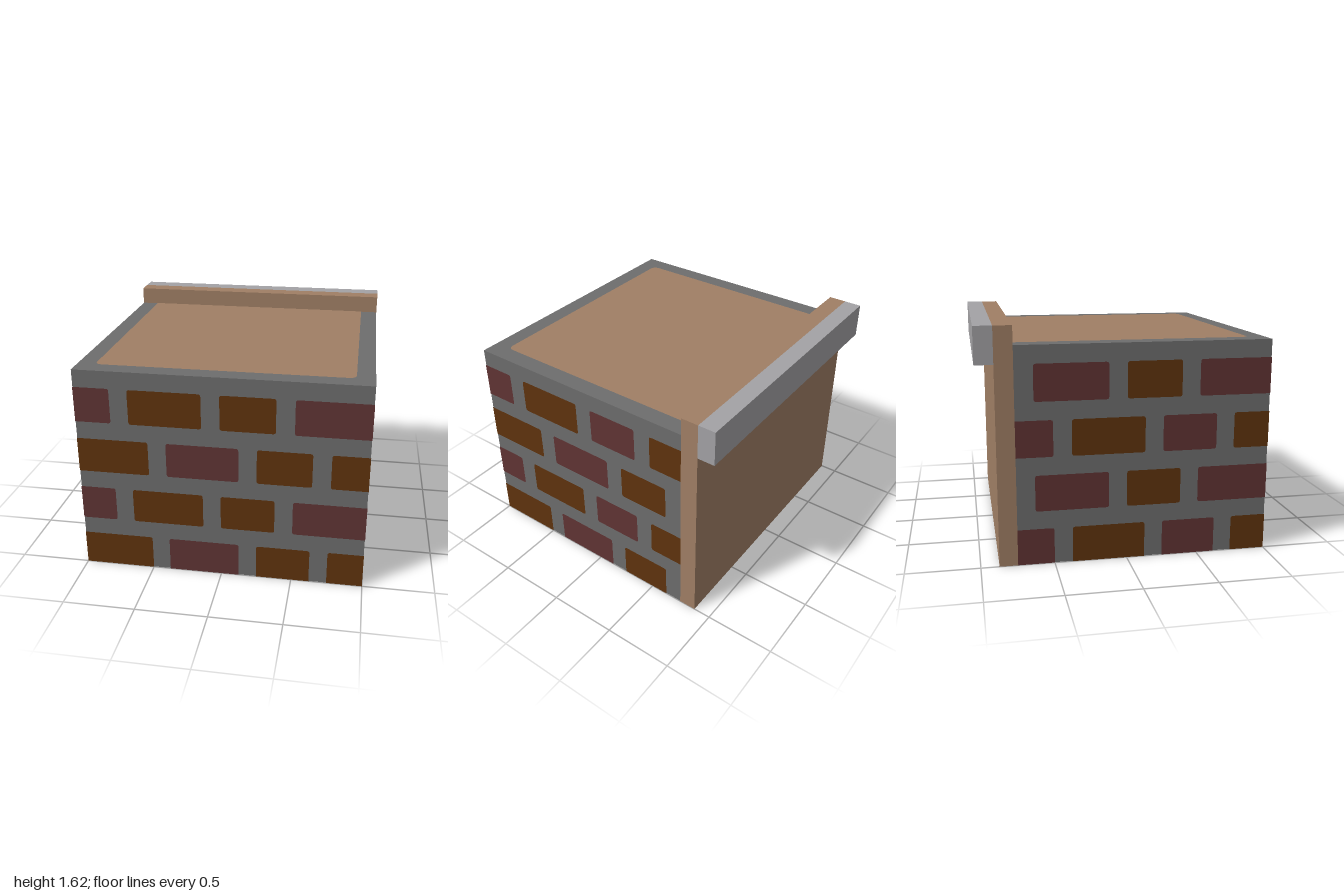
import * as THREE from 'three';

const material = (name, color) => {
  const m = new THREE.MeshStandardMaterial({ color });
  m.name = name;
  return m;
};

// Rectangle with a separate radius for each corner: bottom left, bottom right, top right, top left
function roundedRect(x0, y0, x1, y1, [bl, br, tr, tl]) {
  const s = new THREE.Shape();
  s.moveTo(x0 + bl, y0);
  s.lineTo(x1 - br, y0);
  if (br) s.quadraticCurveTo(x1, y0, x1, y0 + br);
  s.lineTo(x1, y1 - tr);
  if (tr) s.quadraticCurveTo(x1, y1, x1 - tr, y1);
  s.lineTo(x0 + tl, y1);
  if (tl) s.quadraticCurveTo(x0, y1, x0, y1 - tl);
  s.lineTo(x0, y0 + bl);
  if (bl) s.quadraticCurveTo(x0, y0, x0 + bl, y0);
  return new THREE.ShapeGeometry(s, 4);
}

export function createModel() {
  const model = new THREE.Group();
  model.name = 'brickPlanter';
  const mortar = material('mortar grey', 0x6d6d6d);
  const wood = material('wood tan', 0xa07f65);
  const brown = material('brown brick', 0x5f330d);
  const red = material('red brick', 0x603434);
  const stone = material('light stone', 0xa3a2a5);

  const add = (parent, name, geometry, mat) => {
    const mesh = new THREE.Mesh(geometry, mat);
    mesh.name = name;
    parent.add(mesh);
    return mesh;
  };
  const box = (name, mat, x0, x1, y0, y1, z0, z1) =>
    add(model, name, new THREE.BoxGeometry(x1 - x0, y1 - y0, z1 - z0), mat)
      .position.set((x0 + x1) / 2, (y0 + y1) / 2, (z0 + z1) / 2);

  // Mortar block, back board and rail
  const e = 0.002;
  box('mortarBlock', mortar, -1 + e, 1 - e, e, 1.5 - e, -0.75, 1 - e);
  box('backBoard', wood, -1, 1, 0, 1.625, -0.875, -0.75);
  box('backRail', stone, -1, 1, 1.375, 1.625, -1, -0.875);

  // Wooden insets on the top and bottom
  const r = 0.05;
  const top = add(model, 'topInset', roundedRect(-0.875, -0.875, 0.875, 0.75, [r, r, 0, 0]), wood);
  top.rotation.x = -Math.PI / 2;
  top.position.y = 1.5;
  const bottom = add(model, 'bottomInset', roundedRect(-0.875, -0.75, 0.875, 0.875, [0, 0, r, r]), wood);
  bottom.rotation.x = Math.PI / 2;

  // Brick courses: [start, end, colour] along each wall, as seen from outside
  const walls = [
    { name: 'frontWall', turn: 0, from: -1, to: 1,
      low: [[-1, -0.5, brown], [-0.375, 0.125, red], [0.25, 0.625, brown], [0.75, 1, brown]],
      high: [[-1, -0.75, red], [-0.625, -0.125, brown], [0, 0.375, brown], [0.5, 1, red]] },
    { name: 'leftWall', turn: Math.PI / 2, from: -1, to: 0.75,
      low: [[-1, -0.5, brown], [-0.375, 0.125, red], [0.25, 0.625, brown]],
      high: [[-1, -0.75, red], [-0.625, -0.125, brown], [0, 0.375, red], [0.5, 0.75, brown]] },
    { name: 'rightWall', turn: -Math.PI / 2, from: -0.75, to: 1,
      low: [[-0.75, -0.5, red], [-0.375, 0.125, brown], [0.25, 0.625, red], [0.75, 1, brown]],
      high: [[-0.625, -0.125, red], [0, 0.375, brown], [0.5, 1, red]] },
  ];
  for (const { name, turn, from, to, low, high } of walls) {
    const wall = new THREE.Group();
    wall.name = name;
    wall.rotation.y = turn;
    model.add(wall);
    for (let row = 0; row < 4; row++) {
      const y = row * 0.375;
      for (const [a, b, mat] of row % 2 ? high : low) {
        // Corners stay square where a brick wraps round an edge
        const l = a === from ? 0 : 0.018;
        const q = b === to ? 0 : 0.018;
        const radii = row ? [l, q, q, l] : [0, 0, q, l];
        add(wall, 'brick', roundedRect(a, y, b, y + 0.25, radii), mat).position.z = 1;
        // Underside of the lowest course
        if (row === 0) {
          const under = add(wall, 'brickUnderside', new THREE.PlaneGeometry(b - a, 0.125), mat);
          under.rotation.x = Math.PI / 2;
          under.position.set((a + b) / 2, 0, 0.9375);
        }
      }
    }
  }
  return model;
}
